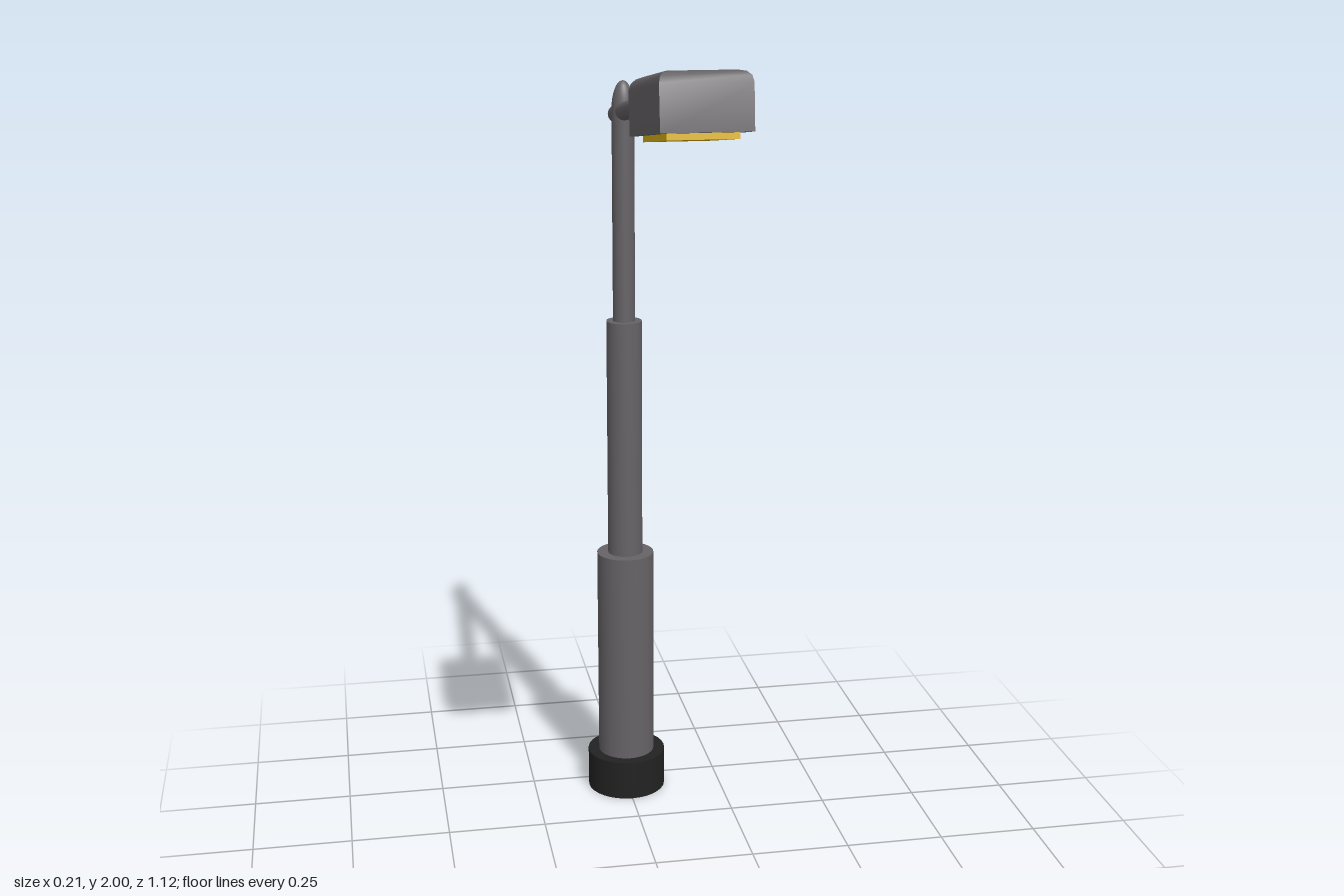
import * as THREE from 'three';
import { toCreasedNormals } from 'three/addons/utils/BufferGeometryUtils.js';

const POLE_Z = -0.455;

// Closed solid from stacked rectangles: [y, halfWidth, front z, back z]
function stackedBox(layers) {
  const pos = [];
  const idx = [];
  for (const [y, w, f, b] of layers) pos.push(-w, y, f, w, y, f, w, y, b, -w, y, b);
  for (let l = 0; l < layers.length - 1; l++) {
    for (let i = 0; i < 4; i++) {
      const a = l * 4 + i;
      const b = l * 4 + ((i + 1) % 4);
      idx.push(a, b, b + 4, a, b + 4, a + 4);
    }
  }
  const t = (layers.length - 1) * 4;
  idx.push(0, 2, 1, 0, 3, 2, t, t + 1, t + 2, t, t + 2, t + 3);
  const g = new THREE.BufferGeometry();
  g.setAttribute('position', new THREE.Float32BufferAttribute(pos, 3));
  g.setIndex(idx);
  return toCreasedNormals(g, 0.65);
}

export function createModel() {
  const metal = new THREE.MeshStandardMaterial({ name: 'grey metal', color: 0x666366 });
  const dark = new THREE.MeshStandardMaterial({ name: 'dark base', color: 0x222222 });
  const yellow = new THREE.MeshStandardMaterial({ name: 'yellow lamp', color: 0xdcb414 });

  const model = new THREE.Group();
  model.name = 'streetLamp';
  const add = (parent, name, geometry, material) => {
    const mesh = new THREE.Mesh(geometry, material);
    mesh.name = name;
    parent.add(mesh);
    return mesh;
  };

  // Base and the two thicker pole sections: name, radius, bottom, top
  const sections = [
    ['base', 0.103, 0, 0.105, dark],
    ['lowerPole', 0.074, 0.1, 0.672, metal],
    ['middlePole', 0.045, 0.66, 1.293, metal],
  ];
  for (const [name, r, y0, y1, material] of sections) {
    add(model, name, new THREE.CylinderGeometry(r, r, y1 - y0, 32), material)
      .position.set(0, (y0 + y1) / 2, POLE_Z);
  }

  // Slim upper pole with a long rounded tip
  const profile = [new THREE.Vector2(0.028, 1.28)];
  for (let i = 0; i <= 8; i++) {
    const a = (i / 8) * Math.PI / 2;
    profile.push(new THREE.Vector2(0.028 * Math.cos(a), 1.82 + 0.07 * Math.sin(a)));
  }
  add(model, 'upperPole', new THREE.LatheGeometry(profile, 32), metal).position.z = POLE_Z;

  // Arm rising from behind the pole into the lamp head
  const start = new THREE.Vector3(0, 1.798, -0.556);
  const end = new THREE.Vector3(0, 1.922, 0.23);
  const along = end.clone().sub(start);
  const arm = add(model, 'arm', new THREE.CylinderGeometry(0.022, 0.022, along.length(), 24), metal);
  arm.position.copy(start).add(end).multiplyScalar(0.5);
  arm.quaternion.setFromUnitVectors(new THREE.Vector3(0, 1, 0), along.normalize());

  // Tilted lamp head with softened top edges
  const head = new THREE.Group();
  head.name = 'lampHead';
  head.position.set(0, 1.86, 0.383);
  head.rotation.x = -0.135;
  model.add(head);
  add(head, 'housing', stackedBox([
    [0, 0.093, 0.179, -0.179],
    [0.094, 0.093, 0.179, -0.179],
    [0.107, 0.09, 0.174, -0.168],
    [0.115, 0.082, 0.162, -0.15],
    [0.119, 0.07, 0.135, -0.125],
  ]), metal);

  // Light panel underneath
  add(head, 'lightPanel', new THREE.BoxGeometry(0.146, 0.018, 0.268), yellow)
    .position.set(0, -0.004, 0.002);

  return model;
}
